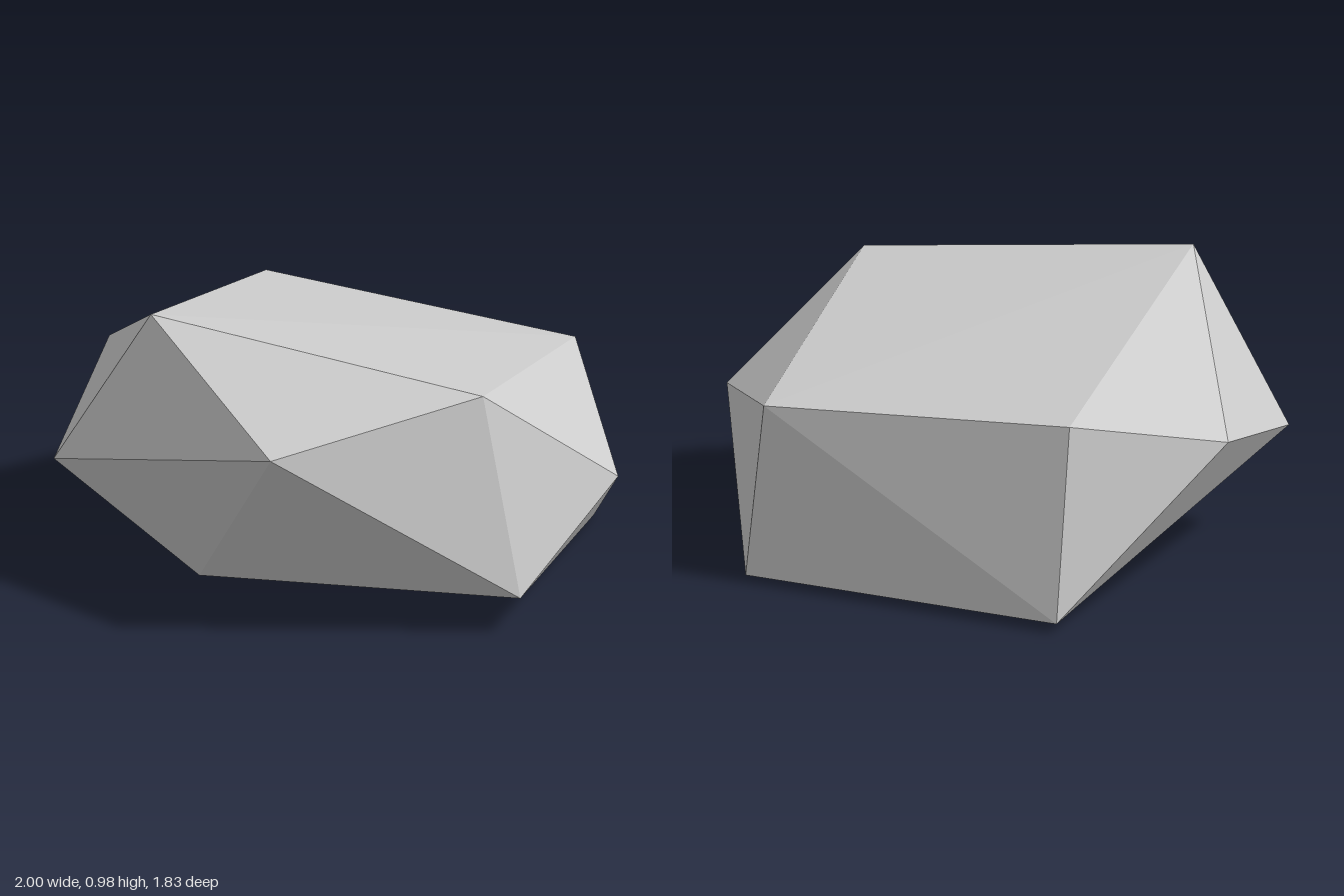
import * as THREE from 'three';
import { ConvexGeometry } from 'three/addons/geometries/ConvexGeometry.js';

export function createModel() {
  const stone = new THREE.MeshStandardMaterial({ color: 0xcccccc });
  stone.name = 'light stone grey';

  // Corners of the faceted boulder; its faces are their convex hull
  const corners = [
    // upper ring
    [-0.53, 0.98, 0.455], [0.68, 0.83, 0.42], [0.55, 0.63, -0.77], [-0.6, 0.71, -0.8],
    // widest points
    [-1, 0.57, -0.35], [-0.905, 0.39, 0.41], [0.09, 0.68, 0.91], [1, 0.43, -0.03],
    // lower ring
    [0.835, 0.13, 0.465], [-0.385, 0.02, 0.37], [0.63, 0, -0.74], [-0.6, 0.035, -0.915],
  ].map((p) => new THREE.Vector3(...p));

  const boulder = new THREE.Mesh(new ConvexGeometry(corners), stone);
  boulder.name = 'boulder';

  const group = new THREE.Group();
  group.name = 'rock';
  group.add(boulder);
  return group;
}
